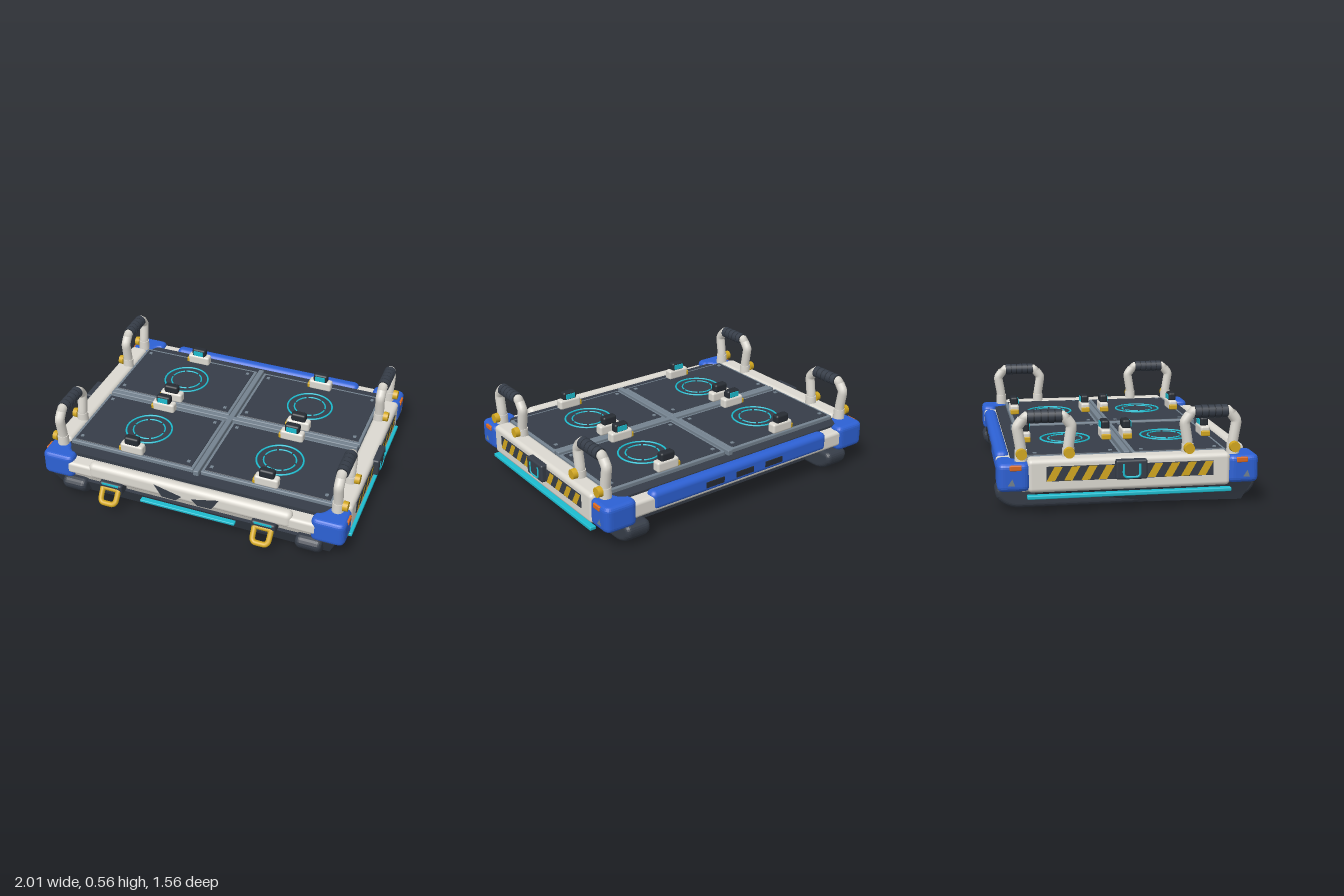
import * as THREE from 'three';
import { RoundedBoxGeometry } from 'three/addons/geometries/RoundedBoxGeometry.js';

const paint = (name, color) => {
  const m = new THREE.MeshStandardMaterial({ color });
  m.name = name;
  return m;
};
const M = {
  white: paint('offWhite', 0xdcd9d1), dark: paint('darkSlate', 0x363d48), black: paint('charcoal', 0x272c33),
  blue: paint('blue', 0x2d61d4), yellow: paint('yellow', 0xd3a81f), teal: paint('teal', 0x1dbccf),
  orange: paint('orange', 0xdc6a20), steel: paint('steel', 0x74828f),
};

function add(parent, name, geo, mat, x = 0, y = 0, z = 0) {
  const m = new THREE.Mesh(geo, mat);
  m.name = name;
  m.position.set(x, y, z);
  parent.add(m);
  return m;
}
// Box with optional rounded edges
const box = (p, name, mat, w, h, d, x, y, z, r = 0) =>
  add(p, name, r ? new RoundedBoxGeometry(w, h, d, 3, r) : new THREE.BoxGeometry(w, h, d), mat, x, y, z);
const shape = pts => new THREE.Shape(pts.map(([u, v]) => new THREE.Vector2(u, v)));

// Polygon whose corners are rounded off by the distance r
function roundedShape(pts, r) {
  const v = pts.map(([x, y]) => new THREE.Vector2(x, y)), s = new THREE.Shape();
  const toward = (a, b) => a.clone().add(b.clone().sub(a).setLength(Math.min(r, a.distanceTo(b) / 2.2)));
  v.forEach((c, i) => {
    const a = toward(c, v.at(i - 1)), b = toward(c, v[(i + 1) % v.length]);
    if (i) s.lineTo(a.x, a.y); else s.moveTo(a.x, a.y);
    s.quadraticCurveTo(c.x, c.y, b.x, b.y);
  });
  s.closePath();
  return s;
}

// Tapered block: each level is [y, halfWidthBack, halfWidthFront, zBack, zFront]
function taper(p, name, mat, top, bottom) {
  const g = new THREE.BoxGeometry(2, 2, 2, 1, 1, 4), a = g.attributes.position;
  for (let i = 0; i < a.count; i++) {
    const [y, wb, wf, zb, zf] = a.getY(i) > 0 ? top : bottom, t = (a.getZ(i) + 1) / 2;
    a.setXYZ(i, a.getX(i) * THREE.MathUtils.lerp(wb, wf, t), y, THREE.MathUtils.lerp(zb, zf, t));
  }
  g.computeVertexNormals();
  return add(p, name, g, mat);
}
// Flat plate drawn as (u, y) and turned to face +x, with u running towards -z
const sidePlate = (p, name, mat, pts, x, y, z) =>
  add(p, name, new THREE.ShapeGeometry(shape(pts)).rotateY(Math.PI / 2), mat, x, y, z);

function tube(p, name, mat, pts, r, closed = false) {
  const curve = new THREE.CatmullRomCurve3(pts.map(a => new THREE.Vector3(...a)), closed, 'catmullrom', 0.25);
  return add(p, name, new THREE.TubeGeometry(curve, 64, r, 12, closed), mat);
}

// Carry handle centred on local z, with grip, ribs and yellow pivots
function handle(p, z) {
  const g = new THREE.Group();
  g.name = 'carryHandle';
  g.position.set(0.885, 0, z);
  p.add(g);
  const leg = [[0.28, 0.13], [0.36, 0.131], [0.46, 0.147], [0.48, 0.145], [0.52, 0.115], [0.53, 0.1]];
  const path = [...leg.map(([y, d]) => [0, y, d]), ...leg.reverse().map(([y, d]) => [0, y, -d])];
  tube(g, 'handleTube', M.white, path, 0.03);
  add(g, 'grip', new THREE.CylinderGeometry(0.034, 0.034, 0.19, 20).rotateX(Math.PI / 2), M.black, 0, 0.53, 0);
  for (let i = -2; i <= 2; i++)
    add(g, 'gripRib', new THREE.CylinderGeometry(0.037, 0.037, 0.031, 20).rotateX(Math.PI / 2), M.dark, 0, 0.53, i * 0.038);
  for (const s of [-1, 1]) {
    add(g, 'handleCollar', new THREE.CylinderGeometry(0.034, 0.036, 0.075, 20), M.white, 0, 0.312, s * 0.13);
    add(g, 'handlePivot', new THREE.CylinderGeometry(0.029, 0.031, 0.03, 20).rotateZ(-Math.PI / 2), M.yellow, 0.045, 0.332, s * 0.13);
  }
}

// Corner bumper: plan outline (x, z) extruded downwards with rounded edges
function cornerBumper(p, s) {
  const plan = [[0.762, 0.645], [0.81, 0.635], [0.848, 0.55], [0.967, 0.55], [0.967, 0.73], [0.762, 0.73]];
  const g = new THREE.ExtrudeGeometry(roundedShape(plan.map(([x, z]) => [x, z * s]), 0.045),
    { depth: 0.1, bevelThickness: 0.028, bevelSize: 0.024, bevelOffset: -0.024, bevelSegments: 4, curveSegments: 6 });
  add(p, 'cornerBumper', g.rotateX(Math.PI / 2), M.blue, 0, 0.26, 0);
}

// One long side with its two corners; local z = 0 is the body's middle
function sideKit(rotation) {
  const g = new THREE.Group();
  g.name = 'sideAssembly';
  g.position.z = -0.05;
  g.rotation.y = rotation;
  box(g, 'sideRail', M.white, 0.115, 0.185, 1.13, 0.905, 0.2125, 0, 0.025);
  box(g, 'hazardPlate', M.dark, 0.008, 0.082, 0.93, 0.963, 0.226, 0);
  for (const start of [-0.465, 0.09])
    for (let i = 0; i < 4; i++) {
      const u = start + i * 0.095;
      sidePlate(g, 'hazardStripe', M.yellow, [[u, -0.039], [u + 0.046, -0.039], [u + 0.09, 0.039], [u + 0.044, 0.039]], 0.9685, 0.226, 0);
    }
  box(g, 'sideModule', M.dark, 0.05, 0.11, 0.175, 0.973, 0.24, 0, 0.012);
  tube(g, 'sideModuleLight', M.teal, [[0.996, 0.275, 0.045], [0.996, 0.215, 0.045], [0.996, 0.2, 0.03],
    [0.996, 0.2, -0.03], [0.996, 0.215, -0.045], [0.996, 0.275, -0.045]], 0.007);
  box(g, 'skidLightBar', M.teal, 0.04, 0.022, 1.14, 0.955, 0.099, 0, 0.006);
  for (const s of [-1, 1]) {
    handle(g, s * 0.465);
    cornerBumper(g, s);
    box(g, 'markerLight', M.orange, 0.045, 0.03, 0.065, 0.949, 0.265, s * 0.63, 0.006);
    sidePlate(g, 'cornerMark', M.steel, [[-0.02, -0.018], [0.02, -0.018], [0.006, 0.02]], 0.9695, 0.186, s * 0.655);
  }
  return g;
}

// Deck latch; dir is the z direction its light faces
function latch(p, x, z, dir) {
  const g = new THREE.Group();
  g.name = 'deckLatch';
  g.position.set(x, 0, z);
  p.add(g);
  box(g, 'latchBase', M.white, 0.15, 0.065, 0.058, 0, 0.332, 0, 0.014);
  box(g, 'latchTab', M.yellow, 0.04, 0.032, 0.054, -0.065, 0.322, 0, 0.006);
  box(g, 'latchCap', M.black, 0.095, 0.055, 0.05, 0, 0.386, 0, 0.014);
  box(g, 'latchLight', M.teal, 0.066, 0.032, 0.009, 0, 0.385, dir * 0.026);
}

// Deck panel with steel border, bolts and teal target rings
function deckPanel(p, x, z) {
  const g = new THREE.Group();
  g.name = 'deckPanel';
  g.position.set(x, 0, z);
  p.add(g);
  box(g, 'panelBorder', M.steel, 0.82, 0.03, 0.54, 0, 0.287, 0, 0.006);
  box(g, 'panelPlate', M.dark, 0.785, 0.02, 0.505, 0, 0.296, 0, 0.005);
  for (const i of [-1, 1]) for (const j of [-1, 1])
    box(g, 'panelBolt', M.steel, 0.02, 0.008, 0.02, i * 0.36, 0.307, j * 0.212);
  const ring = (r, thick, arc, start) => add(g, 'targetRing', new THREE.TorusGeometry(r, thick, 8, arc > 3 ? 64 : 16, arc)
    .rotateZ(start).rotateX(-Math.PI / 2), M.teal, 0, 0.307, 0);
  ring(0.144, 0.006, Math.PI * 2, 0);
  for (let i = 0; i < 6; i++) ring(0.1, 0.005, 0.93, i * Math.PI / 3);
}

export function createModel() {
  const root = new THREE.Group();
  root.name = 'cargoPlatform';

  // Hull and frame
  taper(root, 'hullTray', M.dark, [0.122, 0.875, 0.91, -0.57, 0.657], [0.012, 0.79, 0.87, -0.565, 0.605]);
  taper(root, 'frameSkirt', M.white, [0.205, 0.925, 0.925, -0.75, 0.67], [0.03, 0.78, 0.86, -0.56, 0.59]);
  box(root, 'frontRail', M.white, 1.6, 0.08, 0.1, 0, 0.215, 0.63, 0.02);
  box(root, 'backRail', M.white, 1.6, 0.1, 0.1, 0, 0.215, -0.72, 0.02);
  box(root, 'deckBase', M.dark, 1.72, 0.1, 1.29, 0, 0.228, -0.048);

  // Skids with upswept ends, profile drawn as (z, y)
  const s = new THREE.Shape();
  s.moveTo(0.655, 0.11);
  s.quadraticCurveTo(0.69, 0.1, 0.65, 0.06);
  s.quadraticCurveTo(0.61, 0.03, 0.56, 0.03);
  s.lineTo(-0.66, 0.03);
  s.quadraticCurveTo(-0.725, 0.035, -0.755, 0.08);
  s.quadraticCurveTo(-0.765, 0.11, -0.745, 0.11);
  s.closePath();
  const skid = new THREE.ExtrudeGeometry(s, { depth: 0.1, bevelThickness: 0.03, bevelSize: 0.027, bevelSegments: 5, curveSegments: 8 });
  skid.rotateY(-Math.PI / 2).translate(0.05, 0, 0);
  for (const x of [-0.757, 0.757]) add(root, 'skid', skid, M.dark, x);

  // Front bumper with two angular vents and a light strip
  box(root, 'frontBumper', M.white, 1.3, 0.11, 0.075, 0, 0.23, 0.65, 0.034);
  for (const d of [-1, 1]) {
    const pts = [[0.03, -0.015], [0.21, 0.03], [0.16, -0.05], [0.07, -0.053]].map(([x, y]) => [x * d, y]);
    add(root, 'bumperVent', new THREE.ShapeGeometry(shape(d > 0 ? pts : pts.reverse())), M.dark, 0, 0.234, 0.6895);
  }
  box(root, 'frontLightStrip', M.teal, 0.61, 0.017, 0.035, 0, 0.107, 0.675, 0.005);

  // Back bumper with vents
  box(root, 'backBumper', M.blue, 1.32, 0.12, 0.08, 0, 0.23, -0.735, 0.034);
  for (const x of [-0.222, 0, 0.222]) box(root, 'backVent', M.black, 0.13, 0.035, 0.01, x, 0.225, -0.776);

  // Tow rings
  for (const x of [-0.49, 0.49]) {
    box(root, 'towMount', M.dark, 0.15, 0.075, 0.08, x, 0.16, 0.675, 0.015);
    box(root, 'towMountLight', M.teal, 0.11, 0.012, 0.01, x, 0.188, 0.71);
    tube(root, 'towRing', M.yellow, [[-0.048, 0.157, 0.705], [0.048, 0.157, 0.705], [0.051, 0.145, 0.715], [0.049, 0.1, 0.75],
      [0.032, 0.085, 0.762], [-0.032, 0.085, 0.762], [-0.049, 0.1, 0.75], [-0.051, 0.145, 0.715]], 0.017, true).position.x = x;
  }

  // Deck: panels, cross bars and latches
  for (const x of [-0.435, 0.435])
    for (const z of [-0.35, 0.25]) {
      deckPanel(root, x, z);
      for (const d of [-1, 1]) latch(root, x, z + d * 0.237, -d);
    }
  box(root, 'deckBarLong', M.steel, 0.035, 0.04, 1.18, 0, 0.29, -0.05, 0.006);
  box(root, 'deckBarWide', M.steel, 1.68, 0.04, 0.035, 0, 0.289, -0.05, 0.006);

  for (const r of [0, Math.PI]) root.add(sideKit(r));
  return root;
}
